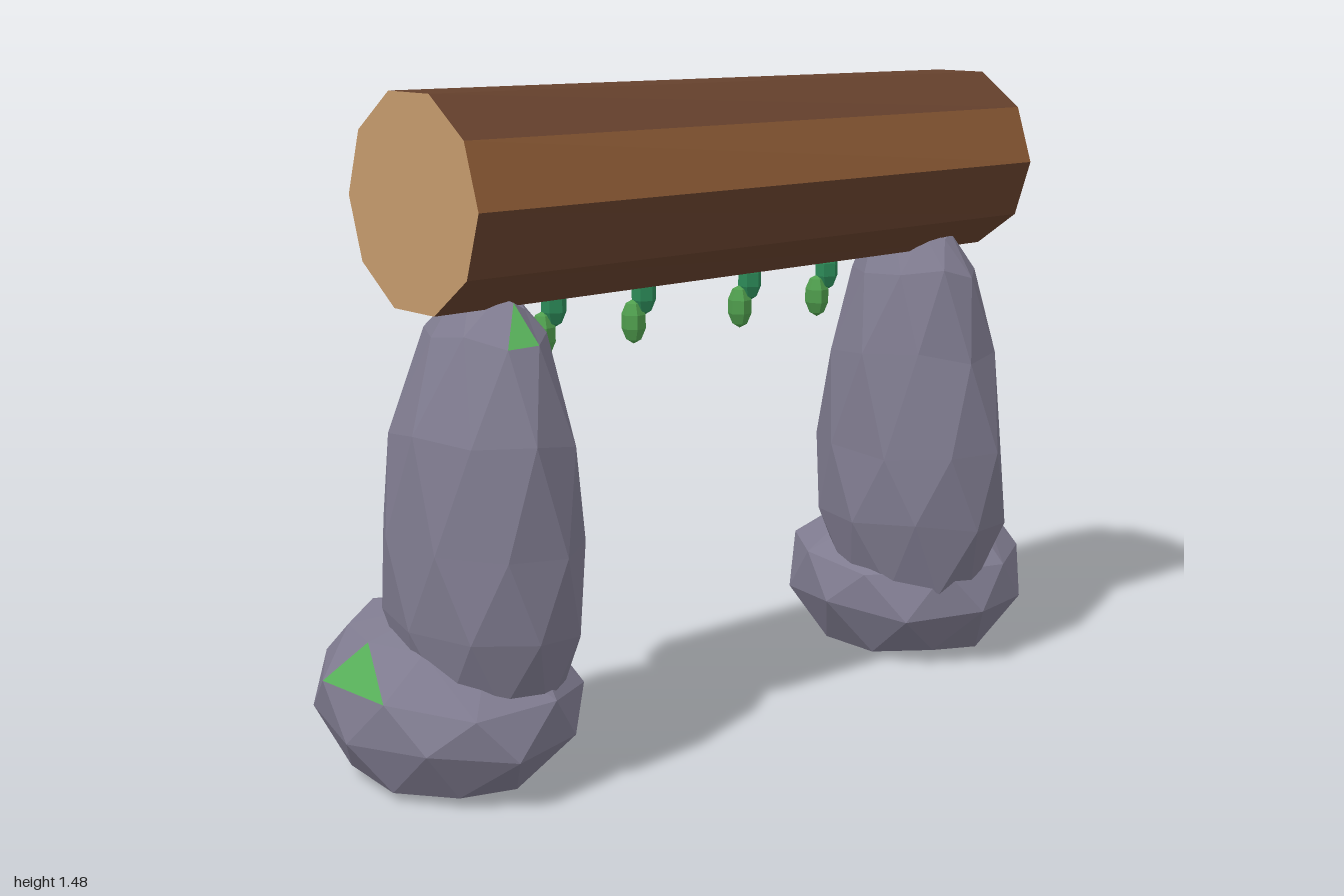
import * as THREE from 'three';

const paint = (name, color) => {
  const m = new THREE.MeshStandardMaterial({ color });
  m.name = name;
  return m;
};
const stone = paint('stone', 0x7f7b8f);
const moss = paint('moss', 0x58b05a);
const bark = paint('bark', 0x66412d);
const barkLight = paint('lightBark', 0x8d5b35);
const cutWood = paint('cutWood', 0xc49a6c);
const leafLight = paint('lightLeaf', 0x509f4e);
const leafDark = paint('darkLeaf', 0x2c8a58);

function seeded(seed) {
  return () => {
    seed = (seed * 16807) % 2147483647;
    return seed / 2147483647 - 0.5;
  };
}

// Faceted boulder: rings are [y, xMin, xMax, zMin, zMax] from bottom to top,
// each turned half a step from the last; the facets nearest mossSpots are green.
function rock(name, rings, bottomY, topY, seed, mossSpots = []) {
  const n = 9, rand = seeded(seed), faces = [];
  const loops = rings.map(([y, x0, x1, z0, z1], i) => {
    const loop = [];
    for (let k = 0; k < n; k++) {
      const a = ((k + (i % 2) / 2) / n) * Math.PI * 2;
      const r = 1.02 + rand() * 0.05;
      loop.push(new THREE.Vector3(
        (x0 + x1) / 2 + Math.cos(a) * r * (x1 - x0) / 2,
        y + rand() * 0.03,
        (z0 + z1) / 2 + Math.sin(a) * r * (z1 - z0) / 2));
    }
    return loop;
  });
  const at = (i, k) => loops[i][k % n];
  const tip = (i, y) => new THREE.Vector3(
    (rings[i][1] + rings[i][2]) / 2, y, (rings[i][3] + rings[i][4]) / 2);
  const last = rings.length - 1;
  const bottom = tip(0, bottomY), top = tip(last, topY);
  for (let k = 0; k < n; k++) {
    faces.push([bottom, at(0, k), at(0, k + 1)]);
    for (let i = 0; i < last; i++) {
      const s = i % 2;
      faces.push([at(i, k), at(i + 1, k + s), at(i, k + 1)]);
      faces.push([at(i + 1, k + s), at(i + 1, k + s + 1), at(i, k + 1)]);
    }
    faces.push([top, at(last, k + 1), at(last, k)]);
  }
  const centre = f => f[0].clone().add(f[1]).add(f[2]).divideScalar(3);
  const green = new Set(mossSpots.map(p => {
    const spot = new THREE.Vector3(...p);
    return faces.reduce((a, b) =>
      centre(b).distanceTo(spot) < centre(a).distanceTo(spot) ? b : a);
  }));
  const geo = new THREE.BufferGeometry().setFromPoints(faces.flat());
  faces.forEach((f, i) => geo.addGroup(i * 3, 3, green.has(f) ? 1 : 0));
  geo.computeVertexNormals();
  const mesh = new THREE.Mesh(geo, [stone, moss]);
  mesh.name = name;
  return mesh;
}

// Ten-sided log lying along x, with two paler strips of bark and cut ends
function makeLog() {
  const geo = new THREE.CylinderGeometry(0.235, 0.235, 1.645, 10).toNonIndexed();
  geo.rotateZ(-Math.PI / 2);
  const p = geo.attributes.position;
  for (let i = 0; i < p.count; i++) if (p.getX(i) > 0) p.setY(i, p.getY(i) * 0.95);
  geo.computeVertexNormals();
  geo.clearGroups();
  for (let k = 0; k < 10; k++) geo.addGroup(k * 6, 6, k === 5 || k === 9 ? 1 : 0);
  geo.addGroup(60, 60, 2);
  const log = new THREE.Mesh(geo, [bark, barkLight, cutWood]);
  log.name = 'log';
  log.position.set(-0.0225, 1.266, 0.08);
  return log;
}

// Hanging vine of three small faceted leaves
function makeVine(x) {
  const geo = new THREE.SphereGeometry(1, 6, 5).toNonIndexed();
  geo.scale(0.031, 0.052, 0.03);
  geo.computeVertexNormals();
  const vine = new THREE.Group();
  vine.name = 'vine';
  [[0, 1.065, -0.035, leafLight], [0.023, 1.0, -0.025, leafDark], [0, 0.935, -0.035, leafLight]]
    .forEach(([dx, y, z, mat], i) => {
      const leaf = new THREE.Mesh(geo, mat);
      leaf.name = 'leaf';
      leaf.position.set(x + dx, y, z);
      leaf.rotation.y = i * 0.6;
      vine.add(leaf);
    });
  return vine;
}

export function createModel() {
  const model = new THREE.Group();
  model.name = 'stoneGate';

  // Boulders at the feet
  model.add(rock('rightFootBoulder', [
    [0.03, -0.94, -0.58, -0.24, 0.24],
    [0.13, -0.99, -0.48, -0.34, 0.33],
    [0.22, -0.975, -0.46, -0.33, 0.31],
    [0.32, -0.9, -0.53, -0.26, 0.18],
  ], 0.005, 0.37, 11, [
    [-0.84, 0.3, -0.23], [-0.94, 0.28, -0.03], [-0.58, 0.3, -0.2]]));
  model.add(rock('leftFootBoulder', [
    [0.035, 0.5, 0.87, -0.24, 0.25],
    [0.14, 0.43, 0.97, -0.32, 0.335],
    [0.25, 0.45, 0.985, -0.3, 0.3],
    [0.36, 0.66, 0.95, -0.18, 0.15],
  ], 0.01, 0.41, 29));

  // Standing stones
  model.add(rock('rightStandingStone', [
    [0.2, -0.84, -0.55, -0.1, 0.28],
    [0.36, -0.88, -0.51, -0.17, 0.335],
    [0.55, -0.88, -0.5, -0.175, 0.34],
    [0.77, -0.86, -0.515, -0.15, 0.32],
    [0.98, -0.775, -0.58, -0.08, 0.26],
    [1.05, -0.72, -0.61, 0.0, 0.19],
  ], 0.15, 1.065, 47, [[-0.69, 1.03, 0.23], [-0.67, 1.01, -0.06]]));
  model.add(rock('leftStandingStone', [
    [0.2, 0.49, 0.78, -0.1, 0.28],
    [0.38, 0.44, 0.845, -0.175, 0.34],
    [0.56, 0.44, 0.835, -0.18, 0.345],
    [0.8, 0.465, 0.81, -0.14, 0.31],
    [1.0, 0.51, 0.74, -0.085, 0.275],
    [1.09, 0.57, 0.68, -0.04, 0.21],
  ], 0.15, 1.11, 83));

  model.add(makeLog());
  for (const x of [-0.43, -0.17, 0.16, 0.418]) model.add(makeVine(x));
  return model;
}
